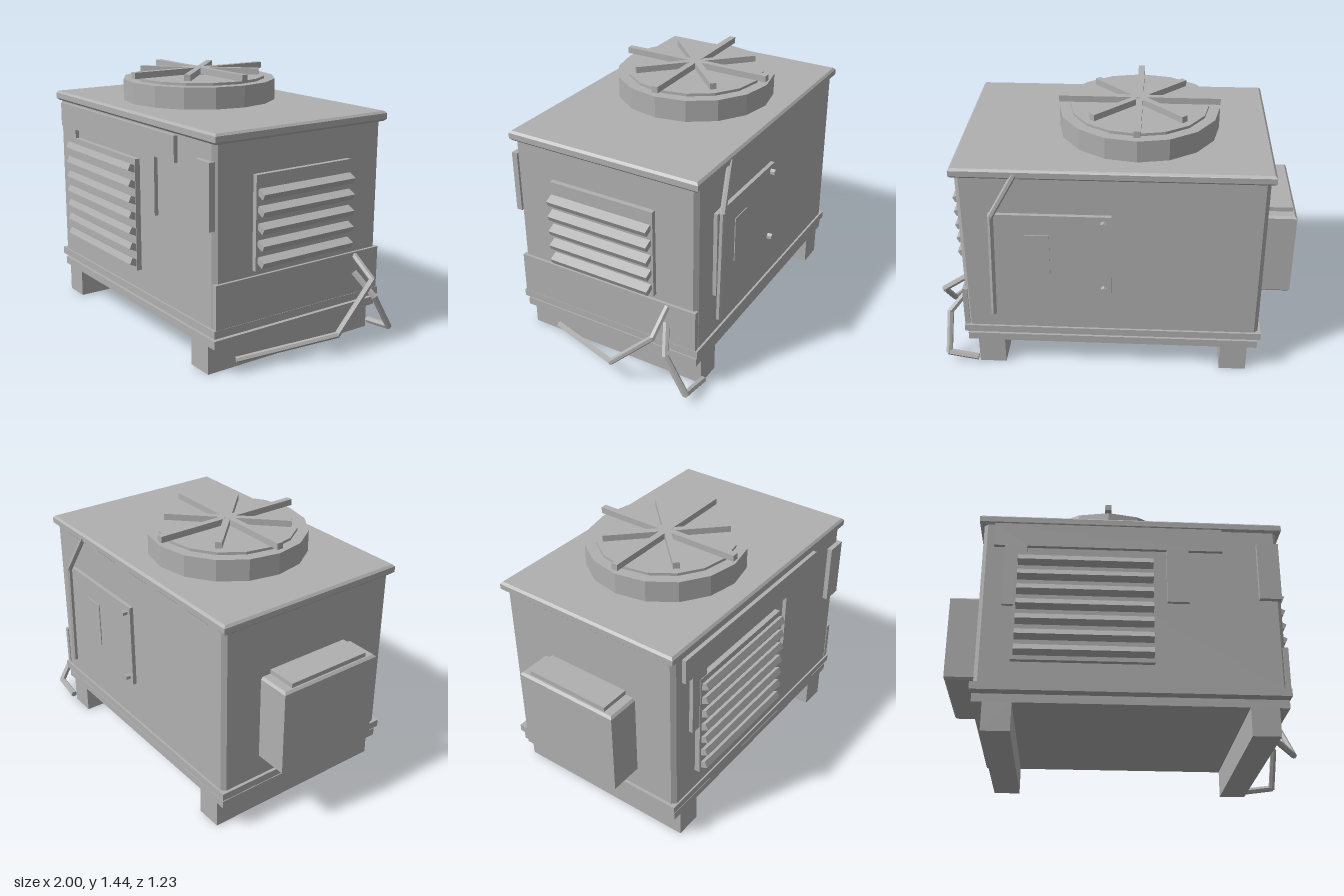
import * as THREE from 'three';

const grey = new THREE.MeshStandardMaterial({ color: 0xb0b0b0 });
grey.name = 'painted metal grey';

export function createModel() {
  const model = new THREE.Group();
  model.name = 'generator';

  const add = (name, geo, parent = model) => {
    const flat = geo.index ? geo.toNonIndexed() : geo;
    flat.computeVertexNormals();
    const mesh = new THREE.Mesh(flat, grey);
    mesh.name = name;
    parent.add(mesh);
    return mesh;
  };
  // Box given by its extents on each axis
  const box = (name, x0, x1, y0, y1, z0, z1) => {
    const m = add(name, new THREE.BoxGeometry(x1 - x0, y1 - y0, z1 - z0));
    m.position.set((x0 + x1) / 2, (y0 + y1) / 2, (z0 + z1) / 2);
    return m;
  };
  // Horizontal slab with chamfered top and bottom rims
  const slab = (name, x0, x1, y0, y1, z0, z1, c) => {
    const s = new THREE.Shape([[x0, -z1], [x1, -z1], [x1, -z0], [x0, -z0]]
      .map(([x, y]) => new THREE.Vector2(x, y)));
    const g = new THREE.ExtrudeGeometry(s, {
      depth: y1 - y0 - 2 * c, bevelEnabled: true, bevelThickness: c,
      bevelSize: c, bevelOffset: -c, bevelSegments: 1,
    });
    g.rotateX(-Math.PI / 2).translate(0, y0 + c, 0);
    return add(name, g);
  };
  // Bent rod: faceted cylinder between each pair of points
  const rod = (name, points, r) => {
    const group = new THREE.Group();
    group.name = name;
    const pts = points.map((p) => new THREE.Vector3(...p));
    for (let i = 0; i + 1 < pts.length; i++) {
      const dir = pts[i + 1].clone().sub(pts[i]);
      const m = add(name + 'Section', new THREE.CylinderGeometry(r, r, dir.length() + r * 0.6, 6), group);
      m.position.copy(pts[i]).addScaledVector(dir, 0.5);
      m.quaternion.setFromUnitVectors(new THREE.Vector3(0, 1, 0), dir.normalize());
    }
    model.add(group);
  };

  // Skids and base plate
  for (const s of [-1, 1]) box('skid', s * 0.685 - 0.075, s * 0.685 + 0.075, 0, 0.16, -0.555, 0.545);
  box('basePlate', -0.815, 0.815, 0.155, 0.2, -0.555, 0.545);
  box('lowerRim', -0.83, 0.83, 0.22, 0.262, -0.567, 0.555);

  // Cabinet with chamfered vertical corners
  const X = 0.813, Z0 = -0.545, Z1 = 0.555, c = 0.022;
  const outline = [[-X + c, Z0], [X - c, Z0], [X, Z0 + c], [X, Z1 - c],
    [X - c, Z1], [-X + c, Z1], [-X, Z1 - c], [-X, Z0 + c]];
  const cabinet = new THREE.ExtrudeGeometry(
    new THREE.Shape(outline.map(([x, y]) => new THREE.Vector2(x, y))),
    { depth: 0.95, bevelEnabled: false });
  cabinet.rotateX(-Math.PI / 2).translate(0, 0.26, 0);
  add('cabinet', cabinet);
  slab('roof', -0.838, 0.838, 1.205, 1.26, -0.57, 0.558, 0.012);

  // Roof fan housing, disc and spokes
  const fx = -0.125, fz = -0.01;
  add('fanHousing', new THREE.CylinderGeometry(0.44, 0.44, 0.125, 16)).position.set(fx, 1.3175, fz);
  add('fanDisc', new THREE.CylinderGeometry(0.38, 0.38, 0.015, 16)).position.set(fx, 1.3875, fz);
  add('fanHub', new THREE.CylinderGeometry(0.03, 0.03, 0.03, 8)).position.set(fx, 1.405, fz);
  for (let i = 0; i < 4; i++) {
    const bar = add('fanSpoke', new THREE.BoxGeometry(i % 2 ? 0.69 : 0.88, 0.035, 0.036));
    bar.position.set(fx, 1.42 - i * 0.0005, fz);
    bar.rotation.y = i * Math.PI / 4;
  }

  // Front louvre, slats tipped upward
  box('frontLouvreFrame', -0.63, 0.12, 0.38, 1.01, 0.54, 0.575);
  for (let i = 0; i < 7; i++) {
    const slat = add('frontSlat', new THREE.BoxGeometry(0.73, 0.038, 0.044));
    slat.position.set(-0.25, 0.43 + i * 0.0885, 0.588);
    slat.rotation.x = -0.45;
  }

  // Front raised trim
  const trim = new THREE.Shape([[-0.75, 1.2], [-0.75, 1.06], [-0.69, 1.06], [-0.69, 0.7],
    [-0.57, 0.7], [-0.57, 1.06], [0.19, 1.06], [0.19, 0.74], [0.31, 0.74], [0.31, 1.06],
    [0.5, 1.06], [0.5, 1.2]].map(([x, y]) => new THREE.Vector2(x, y)));
  add('frontTrim', new THREE.ExtrudeGeometry(trim, { depth: 0.022, bevelEnabled: false }))
    .position.z = 0.55;
  box('frontSidePlate', 0.69, 0.81, 0.775, 1.12, 0.54, 0.573);

  // Right-hand end: louvre with slats tipped downward, and lower panel
  box('sideLouvreFrame', 0.8, 0.84, 0.53, 1.03, -0.315, 0.31);
  for (let i = 0; i < 5; i++) {
    const slat = add('sideSlat', new THREE.BoxGeometry(0.052, 0.034, 0.605));
    slat.position.set(0.862, 0.58 + i * 0.0885, -0.003);
    slat.rotation.z = -0.45;
  }
  box('sideLowerPanel', 0.8, 0.828, 0.25, 0.5, -0.555, 0.545);

  // Opposite end: box with raised cap
  slab('sideBox', -1, -0.8, 0.38, 0.877, -0.32, 0.3, 0.012);
  box('sideBoxCap', -0.98, -0.8, 0.87, 0.902, -0.26, 0.24);

  // Back door, inset plate, bolts and hinge rod
  box('backDoor', 0, 0.65, 0.51, 1, -0.577, -0.54);
  box('backDoorPlate', 0.33, 0.46, 0.62, 0.88, -0.582, -0.575);
  for (const y of [0.55, 0.96]) {
    const bolt = add('doorBolt', new THREE.CylinderGeometry(0.018, 0.018, 0.03, 6));
    bolt.rotation.x = Math.PI / 2;
    bolt.position.set(0.04, y, -0.59);
  }
  rod('backRod', [[0.5, 1.23, -0.562], [0.63, 1.0, -0.595], [0.65, 0.38, -0.595]], 0.016);

  // Bent pipes on the right-hand end
  rod('longPipe', [[0.82, 0.48, -0.385], [0.968, 0.38, -0.385],
    [0.982, 0.13, -0.13], [0.77, 0.04, 0.37]], 0.017);
  rod('shortPipe', [[0.83, 0.38, -0.385], [0.935, 0.26, -0.44],
    [0.935, 0.06, -0.56], [0.77, 0.04, -0.57]], 0.019);

  return model;
}
